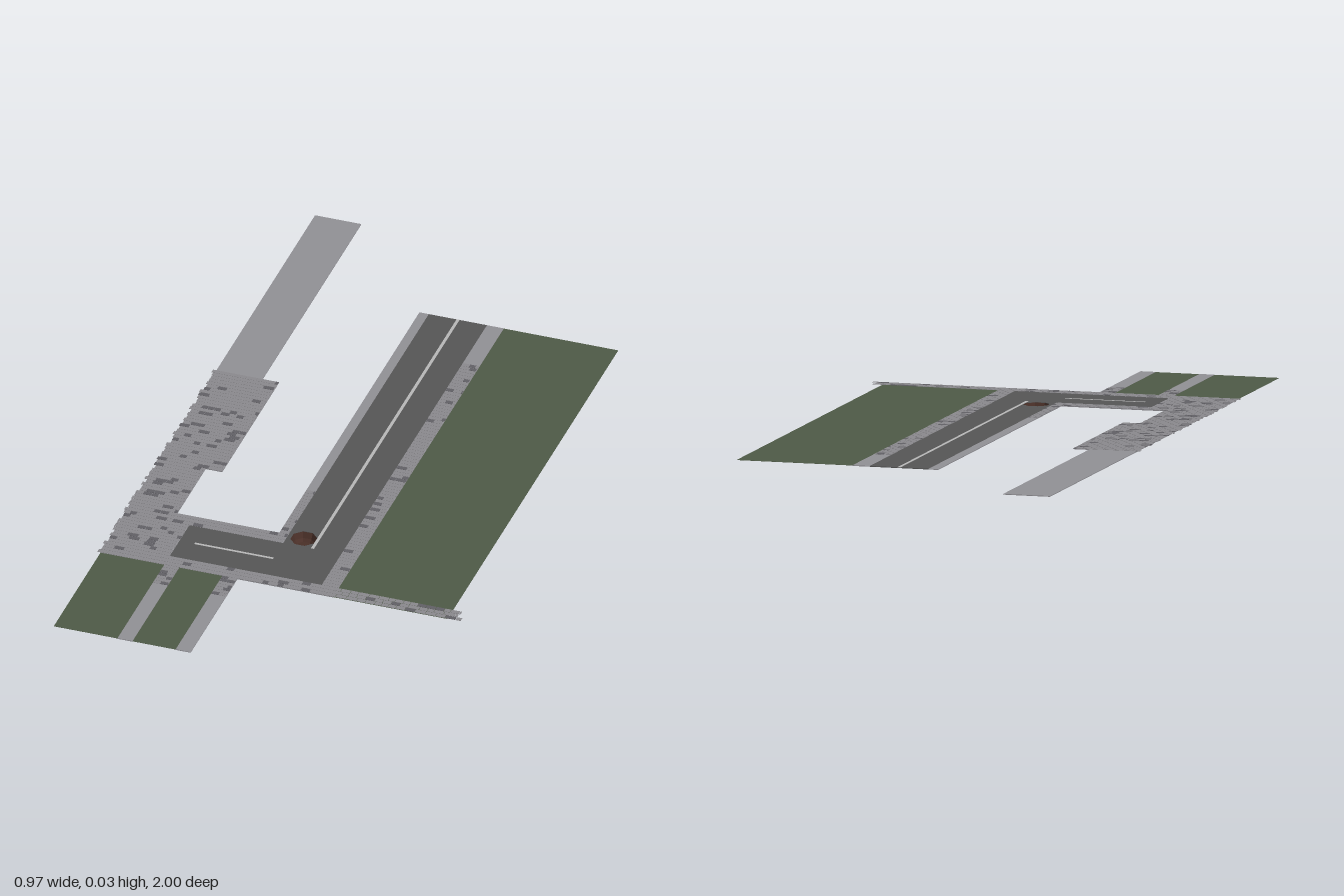
import * as THREE from 'three';
import { mergeGeometries } from 'three/addons/utils/BufferGeometryUtils.js';

const TOP = 0.025;   // walking surface height
const SLAB = 0.002;  // paving thickness
const mat = (color) => new THREE.MeshStandardMaterial({ color, side: THREE.DoubleSide });
const asphalt = mat(0x565656), paving = mat(0x929196), grass = mat(0x4f5a47);
const paint = mat(0xb8b8b8), earth = mat(0x4a3028), stone = mat(0x8b8a8e), darkStone = mat(0x626166);

// Small seeded generator for the irregular stones
let seed = 7;
const rand = () => (seed = (seed * 16807) % 2147483647) / 2147483647;

// Thin rectangular slab from (x0,z0) to (x1,z1), its top at y
function slab(name, x0, z0, x1, z1, material, y = TOP, h = SLAB) {
  const mesh = new THREE.Mesh(new THREE.BoxGeometry(x1 - x0, h, z1 - z0), material);
  mesh.position.set((x0 + x1) / 2, y - h / 2, (z0 + z1) / 2);
  mesh.name = name;
  return mesh;
}

// Rows of irregular flat stones running across a rectangle with ragged row ends
function cobbles(name, x0, z0, x1, z1, ragLeft = 0, ragRight = 0) {
  const light = [], dark = [];
  const rows = Math.max(2, Math.round((z1 - z0) / 0.0135));
  const d = (z1 - z0) / rows;
  for (let r = 0; r < rows; r++) {
    const end = x1 + ragRight * rand();
    let x = x0 - ragLeft * rand();
    while (x < end - 0.004) {
      const w = Math.min(0.016 + 0.014 * rand(), end - x);
      const geo = new THREE.BoxGeometry(w - 0.0012, 0.0007, d - 0.0012);
      geo.translate(x + w / 2, TOP + 0.0003, z0 + (r + 0.5) * d);
      (rand() < 0.15 ? dark : light).push(geo);
      x += w;
    }
  }
  const group = new THREE.Group();
  group.name = name;
  for (const [list, m] of [[light, stone], [dark, darkStone]]) {
    if (!list.length) continue;
    const mesh = new THREE.Mesh(mergeGeometries(list), m);
    mesh.name = 'stones';
    group.add(mesh);
  }
  return group;
}

export function createModel() {
  const model = new THREE.Group();
  model.name = 'streetCorner';
  const hole = { x: -0.018, z: 0.413, r: 0.034 };

  // L-shaped road with an opening for the pothole
  const road = new THREE.Shape([
    [-0.06, 0.665], [0.095, 0.665], [0.095, -0.6], [-0.31, -0.6], [-0.31, -0.45], [-0.06, -0.45],
  ].map(([x, y]) => new THREE.Vector2(x, y)));
  const ring = [];
  for (let i = 0; i < 8; i++) {
    const a = (i + 0.5) * Math.PI / 4;
    ring.push(new THREE.Vector2(hole.x + hole.r * Math.sin(a), -hole.z - hole.r * Math.cos(a)));
  }
  road.holes.push(new THREE.Path(ring));
  const roadMesh = new THREE.Mesh(
    new THREE.ExtrudeGeometry(road, { depth: SLAB, bevelEnabled: false }).rotateX(-Math.PI / 2), asphalt);
  roadMesh.position.y = TOP - SLAB;
  roadMesh.name = 'road';
  model.add(roadMesh);

  // Pothole bowl below the road
  const bowl = new THREE.Mesh(new THREE.LatheGeometry([
    new THREE.Vector2(0.0001, 0), new THREE.Vector2(0.023, 0),
    new THREE.Vector2(0.029, 0.008), new THREE.Vector2(0.034, TOP - 0.001),
  ], 8, Math.PI / 8), earth.clone());
  bowl.material.flatShading = true;
  bowl.position.set(hole.x, 0, hole.z);
  bowl.name = 'pothole';
  model.add(bowl);

  // Lane markings
  model.add(
    slab('longLaneLine', 0.014, -0.665, 0.022, 0.45, paint, TOP + 0.0004, 0.0006),
    slab('shortLaneLine', -0.27, 0.521, -0.06, 0.528, paint, TOP + 0.0004, 0.0006),
  );

  // Paved walkways
  model.add(
    slab('longPath', -0.48, -1, -0.357, 0.6, paving),
    slab('pathWidening', -0.357, -0.245, -0.313, 0.19, paving),
    slab('pathCorner', -0.357, 0.45, -0.31, 0.6, paving),
    slab('innerPavement', -0.357, 0.408, -0.06, 0.45, paving),
    slab('leftPavement', -0.085, -0.665, -0.06, 0.408, paving),
    slab('rightPavement', 0.095, -0.665, 0.14, 0.6, paving),
    slab('frontPavement', -0.48, 0.6, 0.14, 0.642, paving),
    slab('frontWalkLeft', -0.155, 0.642, -0.115, 1, paving),
    slab('frontWalkRight', -0.31, 0.642, -0.27, 1, paving),
  );

  // Lawns
  model.add(
    slab('largeLawn', 0.14, -0.665, 0.445, 0.642, grass, TOP - 0.0005, 0.0005),
    slab('outerLawn', -0.48, 0.642, -0.31, 1, grass, TOP - 0.0005, 0.0005),
    slab('innerLawn', -0.27, 0.642, -0.155, 1, grass, TOP - 0.0005, 0.0005),
  );

  // Cobbled stretches
  model.add(
    cobbles('widePathCobbles', -0.48, -0.245, -0.313, 0.19, 0.01),
    cobbles('pathCobbles', -0.48, 0.19, -0.357, 0.45, 0.01),
    cobbles('cornerCobbles', -0.48, 0.45, -0.31, 0.6, 0.01),
    cobbles('frontCobbles', -0.48, 0.6, 0.465, 0.642, 0.01, 0.025),
    cobbles('innerCobbles', -0.357, 0.408, -0.06, 0.45),
    cobbles('leftCobbles', -0.085, 0.2, -0.06, 0.408),
    cobbles('rightCobbles', 0.095, -0.48, 0.14, 0.6),
    cobbles('frontWalkCobbles', -0.31, 0.642, -0.27, 0.73),
    cobbles('frontWalkCobbles', -0.155, 0.642, -0.115, 0.73),
  );
  return model;
}
